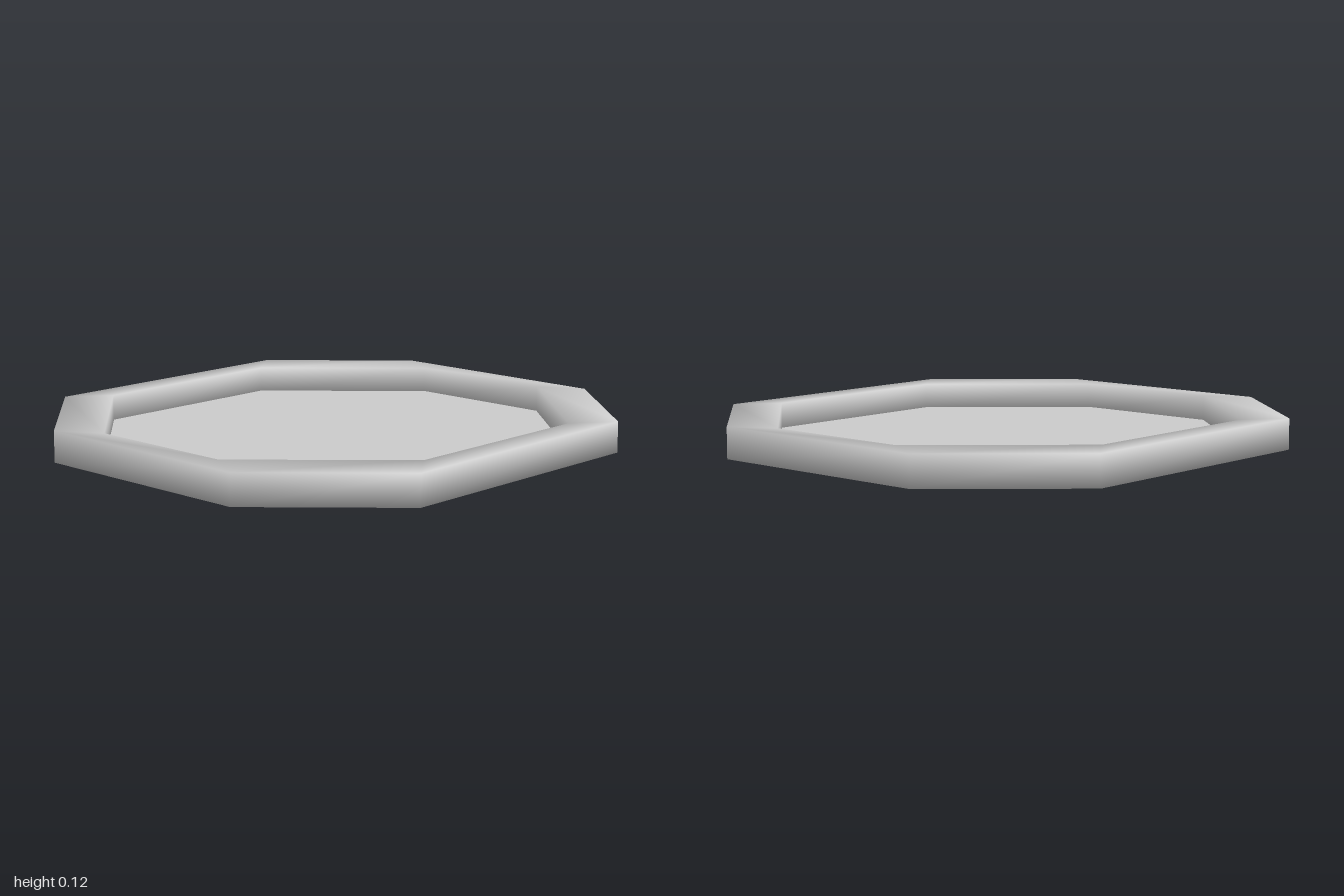
import * as THREE from 'three';

const HEIGHT = 0.12;
const PANEL_Y = 0.02;

// Full octagon from the two corners of one quadrant, running from +x towards +z
function octagon([ax, az], [bx, bz]) {
  return [
    [ax, az], [bx, bz], [-bx, bz], [-ax, az],
    [-ax, -az], [-bx, -bz], [bx, -bz], [ax, -az],
  ];
}

// Closed sweep of a square section with shared corners, so shading stays soft
function ringGeometry(outer, inner) {
  const positions = [];
  const indices = [];
  const n = outer.length;
  for (let i = 0; i < n; i++) {
    const [ox, oz] = outer[i];
    const [ix, iz] = inner[i];
    positions.push(ox, 0, oz, ox, HEIGHT, oz, ix, HEIGHT, iz, ix, 0, iz);
    const next = (i + 1) % n;
    for (let j = 0; j < 4; j++) {
      const k = (j + 1) % 4;
      const a = i * 4 + j, b = i * 4 + k;
      const c = next * 4 + k, d = next * 4 + j;
      indices.push(a, b, d, b, c, d);
    }
  }
  const geometry = new THREE.BufferGeometry();
  geometry.setAttribute('position', new THREE.Float32BufferAttribute(positions, 3));
  geometry.setIndex(indices);
  geometry.computeVertexNormals();
  return geometry;
}

export function createModel() {
  const group = new THREE.Group();
  const material = new THREE.MeshStandardMaterial({ color: 0xcccccc, side: THREE.DoubleSide });
  const outer = octagon([1, 0.47], [0.567, 0.943]);
  const inner = octagon([0.897, 0.305], [0.415, 0.825]);

  // Raised octagonal border
  const rim = new THREE.Mesh(ringGeometry(outer, inner), material);
  rim.name = 'rim';
  group.add(rim);

  // Thin flat panel set low inside the rim
  const shape = new THREE.Shape(inner.map(([x, z]) => new THREE.Vector2(x, -z)));
  const panel = new THREE.Mesh(new THREE.ShapeGeometry(shape).rotateX(-Math.PI / 2), material);
  panel.position.y = PANEL_Y;
  panel.name = 'panel';
  group.add(panel);

  return group;
}
